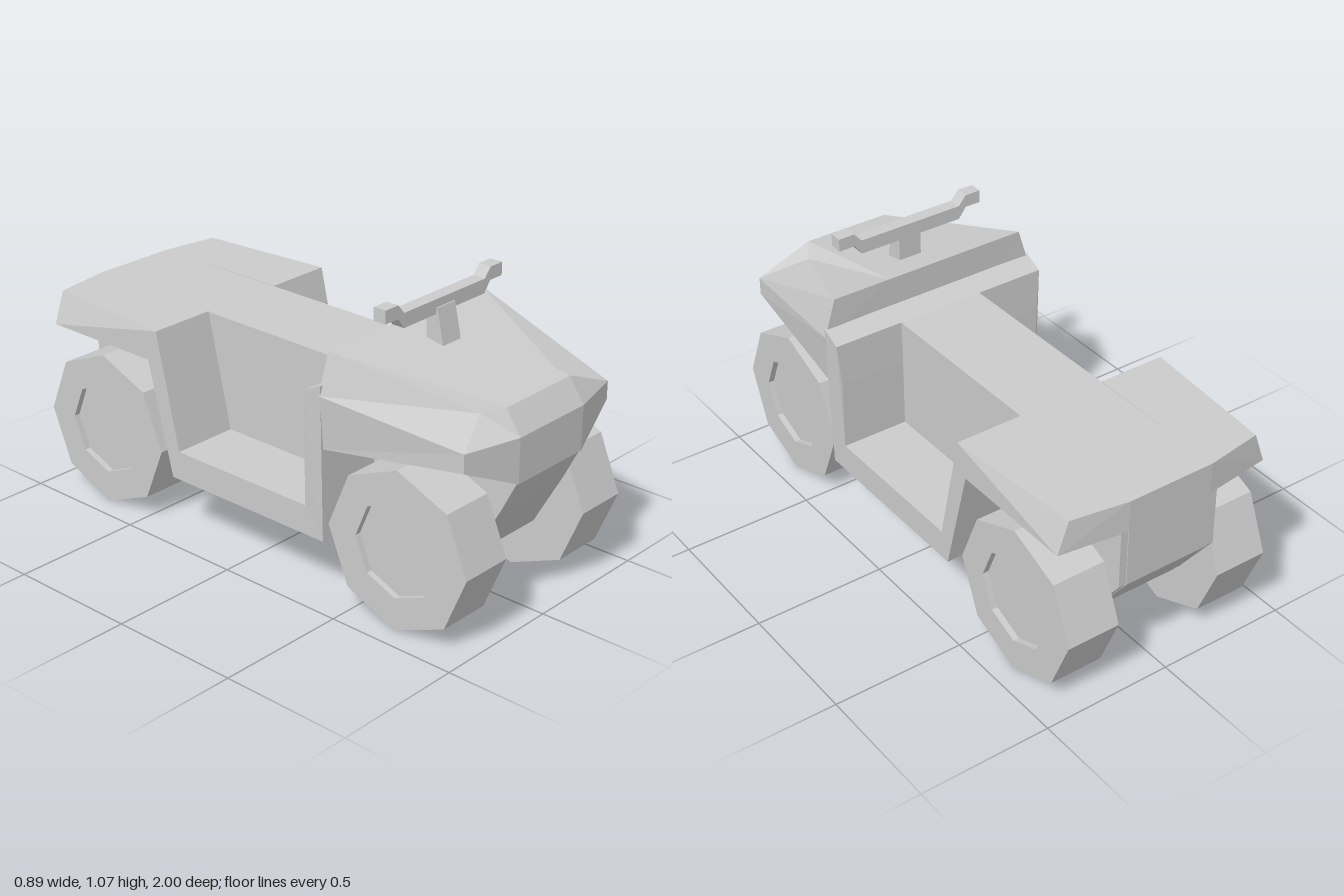
import * as THREE from 'three';

const material = new THREE.MeshStandardMaterial({ color: 0xcccccc, flatShading: true });

function part(name, geometry) {
  const mesh = new THREE.Mesh(geometry, material);
  mesh.name = name;
  return mesh;
}

// Extrude a side profile of [z, y] points across x from x0 to x1
function slab(points, x0, x1) {
  const shape = new THREE.Shape(points.map(([z, y]) => new THREE.Vector2(z, y)));
  const g = new THREE.ExtrudeGeometry(shape, { depth: x1 - x0, bevelEnabled: false });
  return g.rotateY(-Math.PI / 2).translate(x1, 0, 0);
}

// Reflect a non-indexed geometry in x, restoring the winding
function mirrored(source) {
  const g = source.clone().scale(-1, 1, 1);
  const p = g.attributes.position;
  const a = new THREE.Vector3(), b = new THREE.Vector3();
  for (let i = 0; i < p.count; i += 3) {
    a.fromBufferAttribute(p, i + 1);
    b.fromBufferAttribute(p, i + 2);
    p.setXYZ(i + 1, b.x, b.y, b.z);
    p.setXYZ(i + 2, a.x, a.y, a.z);
  }
  g.computeVertexNormals();
  return g;
}

// Left half of the side shell: shield, running board and rear fender
function sideShell() {
  const g = slab([
    [0.39, 0.225], [0.39, 0.8], [0.315, 0.765], [0.31, 0.6], [0.31, 0.335],
    [-0.3, 0.335], [-0.4, 0.77], [-0.94, 0.77], [-0.94, 0.65],
    [-0.445, 0.65], [-0.335, 0.225],
  ], 0.17, 0.43);
  const p = g.attributes.position;
  for (let i = 0; i < p.count; i++) {
    const outer = p.getX(i) > 0.3, y = p.getY(i), z = p.getZ(i);
    if (z < -0.9 && !outer) p.setZ(i, -0.975);            // swept rear edge
    if (z < -0.9 && outer && y > 0.7) p.setX(i, 0.387);   // tapered top corner
    if (z > 0 && outer && y > 0.7) p.setX(i, 0.443);      // flared shield top
  }
  g.computeVertexNormals();
  return g;
}

// Faceted hood, stretched between a rear section and the nose
function hood() {
  const rear = [[0.17, 0.91, 0.385], [0.4, 0.91, 0.385], [0.445, 0.765, 0.385],
    [0.428, 0.568, 0.39], [0.17, 0.55, 0.39]];
  const nose = [[0.17, 0.802, 0.94], [0.215, 0.775, 0.87], [0.386, 0.715, 0.945],
    [0.386, 0.647, 0.945], [0.17, 0.55, 1.0]];
  const tip = [0.17, 0.715, 1.0];
  const flip = ([x, y, z]) => [-x, y, z];
  const out = [];
  const face = (...c) => {
    for (let i = 1; i < c.length - 1; i++) out.push(...c[0], ...c[i], ...c[i + 1]);
  };
  const both = (...c) => {
    face(...c);
    face(...c.map(flip).reverse());
  };
  const across = (a, b) => face(a, b, flip(b), flip(a));

  for (let i = 0; i < 4; i++) both(rear[i], nose[i], nose[i + 1], rear[i + 1]);
  both(nose[0], tip, nose[2], nose[1]);
  both(tip, nose[4], nose[3], nose[2]);
  both(...rear);
  across(nose[0], rear[0]);
  across(tip, nose[0]);
  across(nose[4], tip);
  across(rear[4], nose[4]);
  across(rear[0], rear[4]);

  const g = new THREE.BufferGeometry();
  g.setAttribute('position', new THREE.Float32BufferAttribute(out, 3));
  g.computeVertexNormals();
  return g;
}

// Eight-sided wheel with a recessed hub facing +x
function wheel() {
  const profile = [[0, -0.103], [0.295, -0.103], [0.295, 0.103], [0.175, 0.103],
    [0.175, 0.08], [0, 0.08]].map(([r, y]) => new THREE.Vector2(r, y));
  const g = new THREE.LatheGeometry(profile, 8).rotateZ(-Math.PI / 2).toNonIndexed();
  g.computeVertexNormals();
  return g;
}

// Flat bar with raised grips
function handlebar() {
  const upper = [[0.21, 1.03], [0.24, 1.065], [0.303, 1.065]];
  const lower = [[0.303, 1.017], [0.24, 1.017], [0.21, 0.977]];
  const half = [...upper, ...lower];
  const outline = [...half, ...half.map(([x, y]) => [-x, y]).reverse()];
  const shape = new THREE.Shape(outline.map(([x, y]) => new THREE.Vector2(x, y)));
  return new THREE.ExtrudeGeometry(shape, { depth: 0.05, bevelEnabled: false }).translate(0, 0, 0.495);
}

export function createModel() {
  const model = new THREE.Group();
  model.name = 'quadBike';

  // Central spine: seat, engine block and sloping nose
  model.add(part('seatAndChassis', slab([
    [0.82, 0.225], [0.935, 0.433], [0.995, 0.552], [0.39, 0.552], [0.39, 0.8], [0.315, 0.765],
    [-0.5, 0.768], [-0.975, 0.77], [-0.975, 0.43], [-0.82, 0.225],
  ], -0.171, 0.171)));

  // Wider tail block between the rear wheels
  model.add(part('tail', slab([
    [-0.3, 0.227], [-0.4, 0.66], [-0.972, 0.66], [-0.972, 0.43], [-0.82, 0.227],
  ], -0.2, 0.2)));

  const shell = sideShell();
  model.add(part('leftSideShell', shell), part('rightSideShell', mirrored(shell)));
  model.add(part('hood', hood()));

  // Steering
  model.add(part('steeringStem', slab([
    [0.505, 0.84], [0.58, 0.865], [0.55, 1.0], [0.505, 1.0],
  ], -0.046, 0.046)));
  model.add(part('handlebar', handlebar()));

  // Wheels
  const left = wheel(), right = mirrored(left);
  for (const [end, z] of [['front', 0.7], ['rear', -0.7]]) {
    for (const [side, x, geometry] of [['Left', 0.315, left], ['Right', -0.315, right]]) {
      const mesh = part(`${end}${side}Wheel`, geometry);
      mesh.position.set(x, 0.295, z);
      model.add(mesh);
    }
  }
  return model;
}
